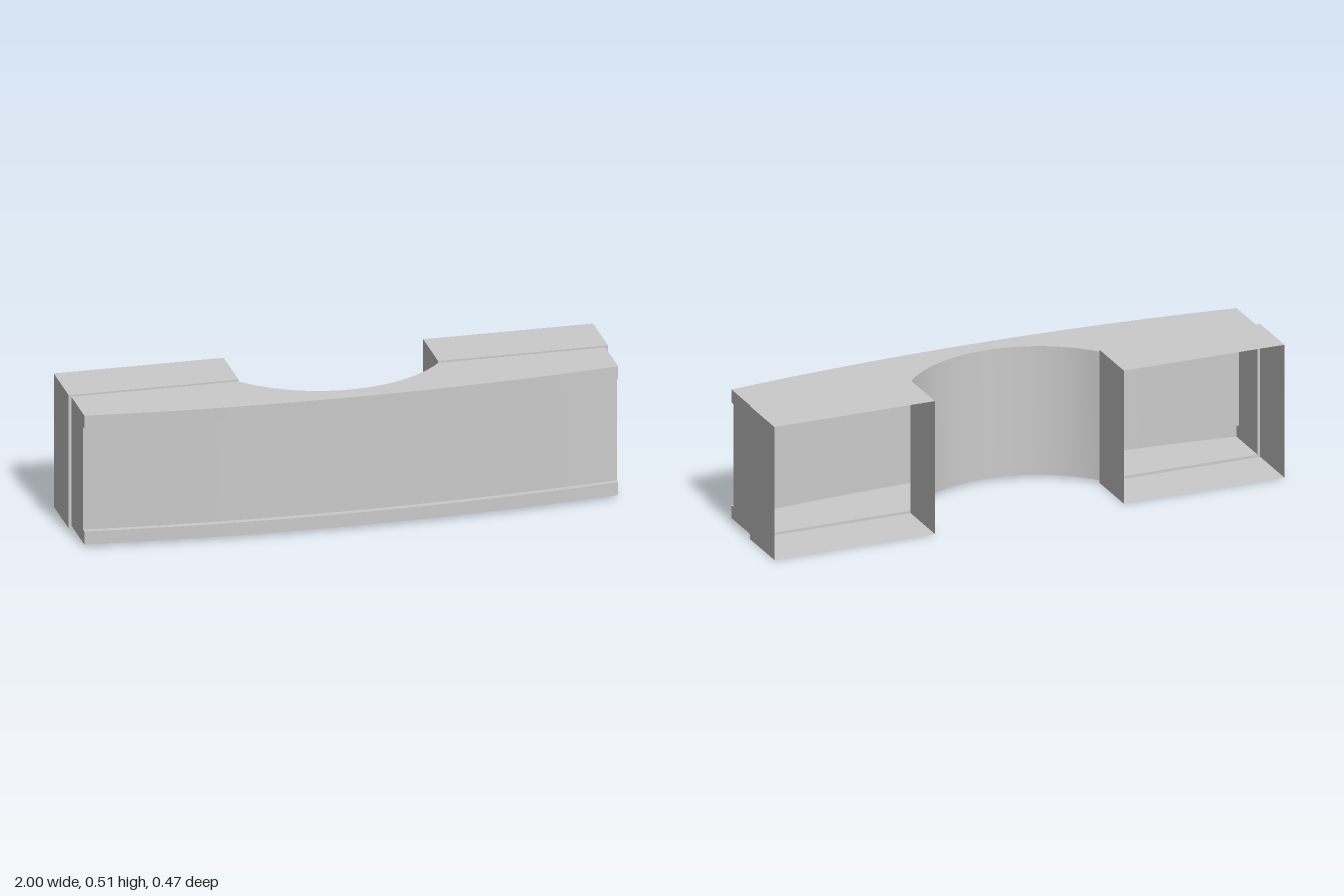
import * as THREE from 'three';

const material = new THREE.MeshStandardMaterial({ color: 0xcccccc, side: THREE.DoubleSide });
const END = 0.99, STEP = -0.015, BACK = -0.235, INNER = 0.37;
const BOTTOM = 0.01, TOP = 0.508, RAIL = 0.05;

// Plan curves as [x, z] points
const sample = (half, n, f) => Array.from({ length: n + 1 }, (_, i) => {
  const x = -half + (2 * half * i) / n;
  return [x, f(x)];
});
const railCurve = sample(END, 40, x => 0.235 - 0.061 * x * x);
const panelCurve = sample(END, 40, x => 0.212 - 0.058 * x * x);

// Circular recess at the back
const RADIUS = 0.4786, CENTRE_Z = 0.16 - RADIUS;
const sweep = Math.asin(INNER / RADIUS);
const recessCurve = Array.from({ length: 33 }, (_, i) => {
  const a = -sweep + (2 * sweep * i) / 32;
  return [RADIUS * Math.sin(a), CENTRE_Z + RADIUS * Math.cos(a)];
});

export function createModel() {
  const model = new THREE.Group();

  function add(name, geometry) {
    const mesh = new THREE.Mesh(geometry, material);
    mesh.name = name;
    model.add(mesh);
  }

  // Upright sheet following a plan curve
  function wall(name, points, y0, y1) {
    const positions = [], index = [];
    points.forEach(([x, z], i) => {
      positions.push(x, y0, z, x, y1, z);
      if (i === 0) return;
      const a = 2 * i - 2;
      index.push(a, a + 2, a + 1, a + 1, a + 2, a + 3);
    });
    const geometry = new THREE.BufferGeometry();
    geometry.setAttribute('position', new THREE.Float32BufferAttribute(positions, 3));
    geometry.setIndex(index);
    geometry.computeVertexNormals();
    add(name, geometry);
  }

  // Flat sheet filling a plan outline, facing up or down
  function plate(name, outline, y, up) {
    const shape = new THREE.Shape(outline.map(([x, z]) => new THREE.Vector2(x, up ? -z : z)));
    const geometry = new THREE.ShapeGeometry(shape);
    geometry.rotateX(up ? -Math.PI / 2 : Math.PI / 2);
    geometry.translate(0, y, 0);
    add(name, geometry);
  }

  // Curved body: top and bottom sheets, front panel and recess
  const bodyOutline = [[-END, STEP], ...railCurve, [END, STEP], ...[...recessCurve].reverse()];
  plate('top', bodyOutline, TOP, true);
  plate('bottom', bodyOutline, BOTTOM, false);
  wall('frontPanel', panelCurve, BOTTOM + RAIL, TOP - RAIL);
  wall('recessWall', [...recessCurve].reverse(), BOTTOM, TOP);

  // Projecting rails along the top and bottom of the front
  const ledge = [...railCurve, ...[...panelCurve].reverse()];
  wall('lowerRail', railCurve, BOTTOM, BOTTOM + RAIL);
  wall('upperRail', railCurve, TOP - RAIL, TOP);
  plate('lowerRailLedge', ledge, BOTTOM + RAIL, true);
  plate('upperRailLedge', ledge, TOP - RAIL, false);

  for (const side of [-1, 1]) {
    const label = side > 0 ? 'left' : 'right';
    const order = points => (side > 0 ? points : points.reverse());

    // Body end, stepping forward at the rails
    const x = side * END, panelZ = panelCurve[0][1], railZ = railCurve[0][1];
    wall(label + 'End', order([[x, panelZ], [x, STEP]]), BOTTOM, TOP);
    for (const y of [BOTTOM, TOP - RAIL]) {
      wall(label + 'RailEnd', order([[x, railZ], [x, panelZ]]), y, y + RAIL);
    }

    // Rear cabinet sleeve, open at the back and into the body
    const inner = side * INNER, outer = side;
    const outline = [[inner, BACK], [outer, BACK], [outer, STEP], [inner, STEP]];
    plate(label + 'CabinetTop', outline, 0.515, true);
    plate(label + 'CabinetBottom', outline, 0, false);
    wall(label + 'CabinetOuterSide', order([[outer, STEP], [outer, BACK]]), 0, 0.515);
    wall(label + 'CabinetInnerSide', order([[inner, BACK], [inner, STEP]]), 0, 0.515);

    // Narrow lips closing the step between cabinet and body
    const across = () => order([[inner, STEP], [outer, STEP]]);
    wall(label + 'LowerLip', across(), 0, BOTTOM);
    wall(label + 'UpperLip', across(), TOP, 0.515);
    wall(label + 'SideLip', order([[x, STEP], [outer, STEP]]), BOTTOM, TOP);
  }
  return model;
}
